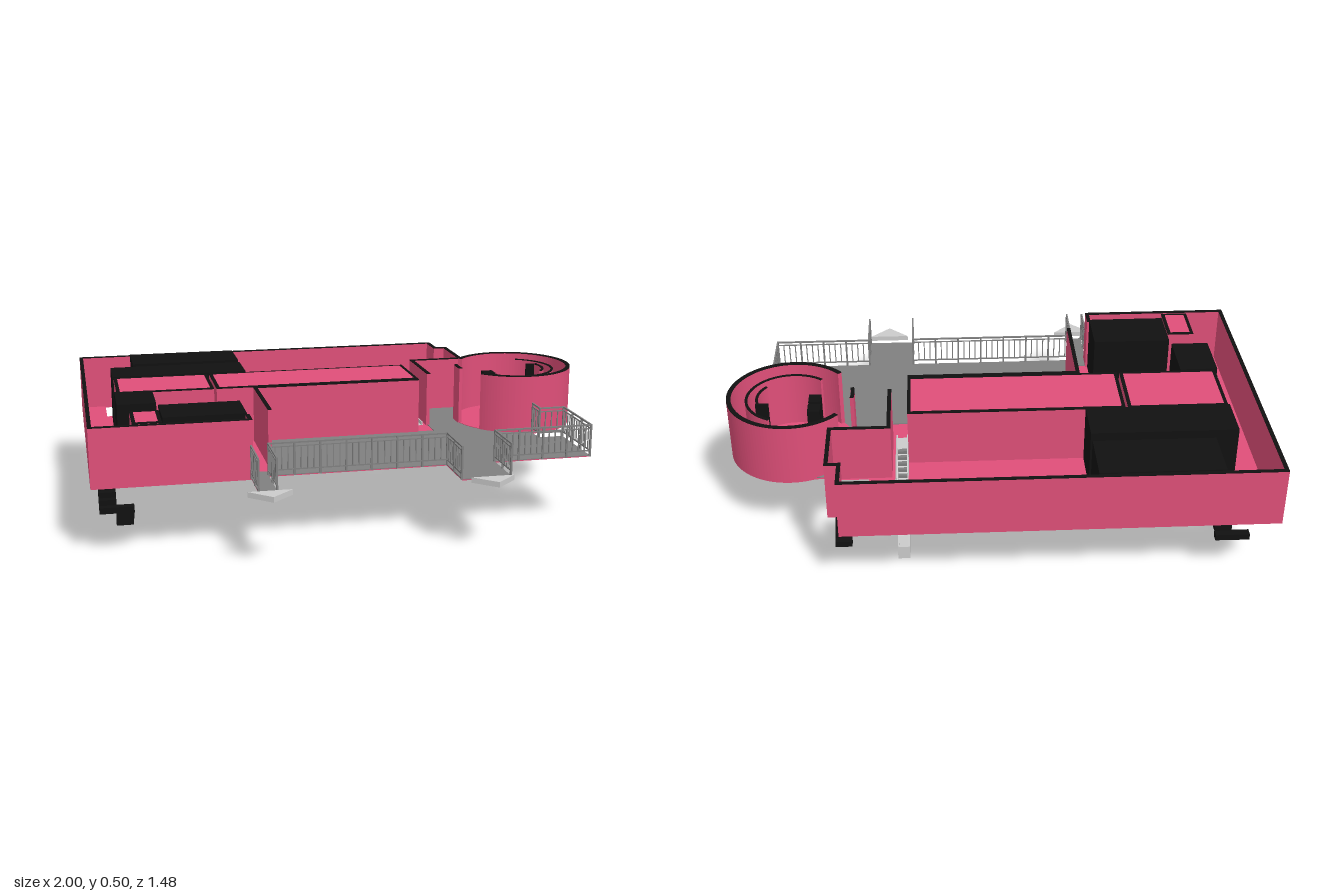
import * as THREE from 'three';

const mat = (color) => new THREE.MeshStandardMaterial({ color });

export function createModel() {
  const root = new THREE.Group();
  const pink = mat(0xdf4f79), black = mat(0x111111), deckGrey = mat(0x808080), grey = mat(0xcccccc);
  const FLOOR = 0.265, TOP = 0.485;

  const add = (parent, name, geo, material) => {
    const m = new THREE.Mesh(geo, material);
    m.name = name;
    parent.add(m);
    return m;
  };
  const group = (name) => {
    const g = new THREE.Group();
    g.name = name;
    root.add(g);
    return g;
  };
  // Box given by its limits on x, y and z
  const box = (parent, name, x0, x1, y0, y1, z0, z1, material) => {
    const m = add(parent, name, new THREE.BoxGeometry(x1 - x0, y1 - y0, z1 - z0), material);
    m.position.set((x0 + x1) / 2, (y0 + y1) / 2, (z0 + z1) / 2);
    return m;
  };
  // Straight bar along x or z between two plan points
  const bar = (parent, name, a, b, y0, y1, t, material) =>
    box(parent, name, Math.min(a[0], b[0]) - t / 2, Math.max(a[0], b[0]) + t / 2, y0, y1,
      Math.min(a[1], b[1]) - t / 2, Math.max(a[1], b[1]) + t / 2, material);
  const plan = (pts, Type = THREE.Shape) => new Type(pts.map(([x, z]) => new THREE.Vector2(x, -z)));
  const rect = (x0, x1, z0, z1) => [[x0, z0], [x1, z0], [x1, z1], [x0, z1]];
  // Plan shape raised from y0 to y1
  const slab = (parent, name, shape, y0, y1, material) => {
    const geo = new THREE.ExtrudeGeometry(shape, { depth: y1 - y0, bevelEnabled: false, curveSegments: 48 });
    geo.rotateX(-Math.PI / 2).translate(0, y0, 0);
    return add(parent, name, geo, material);
  };

  // Floor plate with openings for the stairs and the escalator
  const outline = plan([[-1, -0.74], [0.565, -0.74], [0.565, -0.62], [0.61, -0.62], [0.61, -0.39], [0.77, -0.39],
    [0.77, 0.16], [0.87, 0.16], [0.87, 0.44], [0.49, 0.44], [0.49, 0.63], [0.305, 0.63], [0.305, 0.44],
    [-0.365, 0.44], [-0.365, 0.63], [-0.43, 0.63], [-0.43, 0.455], [-1, 0.455]]);
  outline.holes = [rect(-0.9, -0.78, -0.73, -0.55), rect(-0.97, -0.85, 0.265, 0.435),
    rect(0.47, 0.605, -0.58, -0.405), rect(0.323, 0.373, -0.55, -0.13)].map((r) => plan(r, THREE.Path));
  slab(root, 'floor', outline, 0.262, FLOOR, pink);

  // Outdoor deck
  slab(root, 'deck', plan([[0.39, -0.385], [0.76, -0.385], [0.77, 0.16], [0.87, 0.16], [0.87, 0.44], [0.49, 0.44],
    [0.49, 0.63], [0.305, 0.63], [0.305, 0.44], [-0.365, 0.44], [-0.365, 0.63], [-0.43, 0.63], [-0.43, 0.39],
    [-0.34, 0.39], [-0.34, -0.03], [0.39, -0.03]]), FLOOR, 0.268, deckGrey);

  // Walls with black caps
  const walls = group('walls');
  const wallRuns = [
    [[-0.43, 0.39], [-0.43, 0.45], [-0.993, 0.45], [-0.993, -0.735], [0.56, -0.735], [0.56, -0.62], [0.605, -0.62],
      [0.605, -0.39], [0.39, -0.39], [0.39, -0.13]],
    [[-0.34, 0.32], [-0.34, -0.03], [0.315, -0.03]],
  ];
  for (const run of wallRuns) {
    for (let i = 1; i < run.length; i++) {
      bar(walls, 'wall', run[i - 1], run[i], 0.26, TOP - 0.003, 0.014, pink);
      bar(walls, 'wallCap', run[i - 1], run[i], TOP - 0.003, TOP, 0.0145, black);
    }
  }

  // Enclosed rooms: pink roof with a black border
  const rooms = group('closedRooms');
  for (const [x0, x1, z0, z1] of [[-0.875, -0.5, -0.302, -0.042], [-0.49, 0.322, -0.302, -0.042],
    [-0.845, -0.74, 0.255, 0.43]]) {
    box(rooms, 'room', x0, x1, 0.258, TOP - 0.003, z0, z1, pink);
    const border = plan(rect(x0, x1, z0, z1));
    border.holes.push(plan(rect(x0 + 0.013, x1 - 0.013, z0 + 0.013, z1 - 0.013), THREE.Path));
    slab(rooms, 'roomBorder', border, TOP - 0.003, TOP + 0.001, black);
  }

  // Solid black service blocks
  const blocks = group('serviceBlocks');
  for (const [x0, x1, z0, z1] of [[-0.785, -0.34, -0.728, -0.528], [-0.88, -0.34, -0.478, -0.304],
    [-0.885, -0.74, -0.04, 0.165], [-0.735, -0.432, 0.195, 0.385]]) {
    box(blocks, 'serviceBlock', x0, x1, FLOOR, 0.49, z0, z1, black);
  }

  // Round room with inner curved screens
  const round = group('roundRoom');
  const CX = 0.76, CZ = -0.165;
  const arcWall = (name, r, from, to, top, t = 0.014) => {
    const a = THREE.MathUtils.degToRad(from), b = THREE.MathUtils.degToRad(to);
    const shape = new THREE.Shape();
    shape.absarc(CX, -CZ, r, a, b, false);
    shape.absarc(CX, -CZ, r - t, b, a, true);
    slab(round, name, shape, 0.26, top - 0.003, pink);
    slab(round, name + 'Cap', shape, top - 0.003, top, black);
  };
  const disc = new THREE.Shape();
  disc.absarc(CX, -CZ, 0.236, 0, Math.PI * 2, false);
  slab(round, 'roundFloor', disc, 0.261, 0.27, pink);
  arcWall('roundWall', 0.24, -140, 140, 0.5, 0.017);
  arcWall('doorPanel', 0.24, 171, 189, 0.5);
  arcWall('innerScreen', 0.172, -130, 65, TOP, 0.01);
  arcWall('smallScreen', 0.133, -40, 20, TOP, 0.01);
  bar(round, 'screenEnd', [0.845, -0.21], [0.885, -0.21], FLOOR, TOP, 0.009, black);
  for (const z of [-0.205, -0.135]) box(round, 'cabinet', 0.65, 0.697, FLOOR, 0.46, z - 0.027, z + 0.027, black);

  // Deck railings
  const rails = group('railings');
  const railRuns = [
    [[-0.43, 0.46], [-0.43, 0.625]],
    [[-0.365, 0.625], [-0.365, 0.44], [0.305, 0.44], [0.305, 0.625]],
    [[0.49, 0.625], [0.49, 0.44], [0.87, 0.44], [0.87, 0.16], [0.77, 0.16], [0.77, 0.08]],
  ];
  for (const run of railRuns) {
    for (let i = 1; i < run.length; i++) {
      const [a, b] = [run[i - 1], run[i]];
      bar(rails, 'topRail', a, b, 0.384, 0.39, 0.006, deckGrey);
      bar(rails, 'upperRail', a, b, 0.371, 0.375, 0.004, deckGrey);
      bar(rails, 'lowerRail', a, b, 0.284, 0.289, 0.004, deckGrey);
      const len = Math.hypot(b[0] - a[0], b[1] - a[1]);
      const n = Math.max(4, Math.round(len / 0.0235 / 4) * 4);
      for (let k = 0; k <= n; k++) {
        const p = [a[0] + (b[0] - a[0]) * k / n, a[1] + (b[1] - a[1]) * k / n];
        const post = k % 4 === 0;
        bar(rails, post ? 'post' : 'baluster', p, p, post ? 0.264 : 0.286, post ? 0.388 : 0.373,
          post ? 0.007 : 0.004, deckGrey);
      }
    }
  }

  // Two-flight black stairs; dir is the way the upper flight runs along z
  const stairs = group('stairs');
  const stair = (xUp, xDown, zStart, dir) => {
    for (let i = 0; i < 9; i++) {
      const z = zStart + dir * 0.026 * (4 - Math.abs(i - 4));
      const y = 0.249 - i * 0.0205;
      const landing = i === 4;
      const x0 = landing ? Math.min(xUp, xDown) : i < 4 ? xUp : xDown;
      box(stairs, landing ? 'landing' : 'step', x0, x0 + (landing ? 0.124 : 0.062), y - 0.0115, y + 0.0115,
        z - 0.015, z + 0.015, black);
    }
  };
  stair(-0.972, -0.91, 0.303, 1);
  stair(-0.842, -0.904, -0.575, -1);
  stair(0.474, 0.536, -0.545, 1);

  // Escalator: side panels, core and dark steps
  const escalator = group('escalator');
  const profile = (name, pts, x, width, material) => {
    const shape = new THREE.Shape(pts.map(([s, y]) => new THREE.Vector2(s, y)));
    const geo = new THREE.ExtrudeGeometry(shape, { depth: width, bevelEnabled: false });
    geo.rotateY(Math.PI / 2).translate(x, 0, 0);
    add(escalator, name, geo, material);
  };
  const side = [[0.13, 0.225], [0.21, 0.225], [0.47, 0], [0.545, 0], [0.545, 0.055], [0.48, 0.055], [0.45, 0.08],
    [0.45, 0.115], [0.265, 0.28], [0.13, 0.28]];
  for (const x of [0.325, 0.365]) profile('escalatorSide', side, x, 0.005, grey);
  profile('escalatorCore', [[0.13, 0.225], [0.21, 0.225], [0.47, 0], [0.545, 0], [0.545, 0.053], [0.47, 0.05],
    [0.21, 0.266], [0.13, 0.266]], 0.33, 0.035, grey);
  for (let i = 0; i < 14; i++) {
    const z = -0.215 - i * 0.0185, y = 0.266 - i * 0.0154;
    box(escalator, 'escalatorStep', 0.33, 0.365, y - 0.014, y, z - 0.0095, z + 0.0095, deckGrey);
  }

  // Entrance arrows in front of the deck
  for (const x of [-0.395, 0.41]) {
    slab(root, 'entranceArrow', plan([[x - 0.08, 0.662], [x + 0.08, 0.662], [x, 0.737]]), 0.262, 0.282, grey);
  }
  return root;
}
